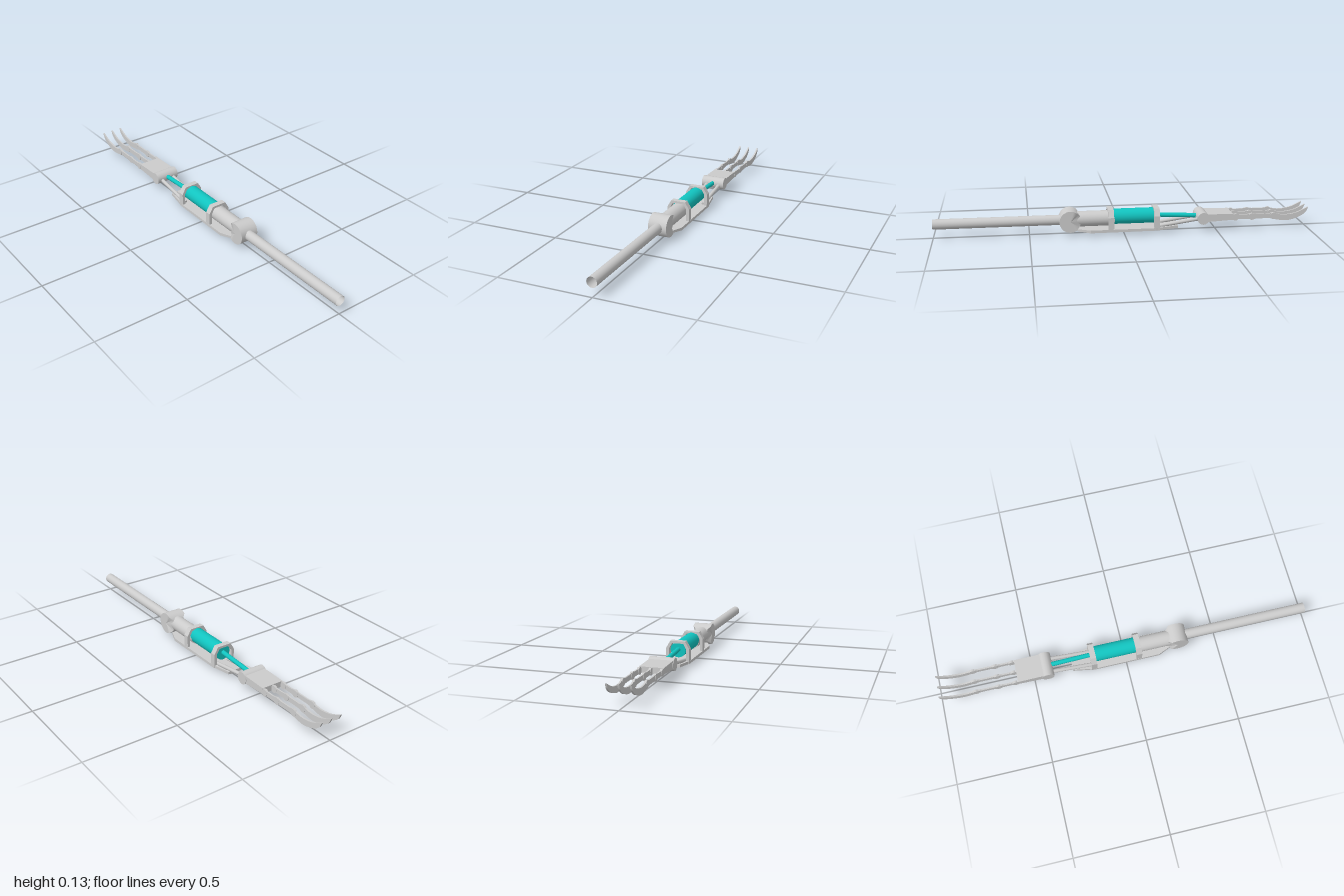
import * as THREE from 'three';

const grey = new THREE.MeshStandardMaterial({ color: 0xcccccc, side: THREE.DoubleSide });
const flatGrey = new THREE.MeshStandardMaterial({ color: 0xcccccc, flatShading: true, side: THREE.DoubleSide });
const teal = new THREE.MeshStandardMaterial({ color: 0x12c4c0 });

export function createModel() {
  const model = new THREE.Group();
  model.name = 'roboticArm';

  const add = (name, geometry, material = grey, parent = model) => {
    const mesh = new THREE.Mesh(geometry, material);
    mesh.name = name;
    parent.add(mesh);
    return mesh;
  };

  // Cylinder running from point a to point b
  const rod = (name, a, b, radius, material = grey, sides = 20, open = false, parent = model) => {
    const start = new THREE.Vector3(...a), end = new THREE.Vector3(...b);
    const dir = end.clone().sub(start);
    const mesh = add(name, new THREE.CylinderGeometry(radius, radius, dir.length(), sides, 1, open), material, parent);
    mesh.position.copy(start).add(end).multiplyScalar(0.5);
    mesh.quaternion.setFromUnitVectors(new THREE.Vector3(0, 1, 0), dir.normalize());
    return mesh;
  };

  // Side profile in x/y extruded evenly about z = 0
  const slab = (shape, width) =>
    new THREE.ExtrudeGeometry(shape, { depth: width, bevelEnabled: false, curveSegments: 10 }).translate(0, 0, -width / 2);
  const polygon = (points) => new THREE.Shape(points.map(([x, y]) => new THREE.Vector2(x, y)));

  // Upper arm: a hollow tube
  rod('upperArm', [0.3, 0.075, 0], [1, 0.075, 0], 0.027, grey, 24, true);

  // Elbow drum, its forearm side narrowed
  const elbow = new THREE.CylinderGeometry(0.058, 0.058, 0.1, 20).rotateX(Math.PI / 2);
  const pos = elbow.attributes.position;
  for (let i = 0; i < pos.count; i++) {
    if (pos.getX(i) < -0.04) pos.setZ(i, pos.getZ(i) * 0.7);
  }
  elbow.computeVertexNormals();
  add('elbow', elbow).position.set(0.285, 0.074, 0);

  // Forearm and piston
  rod('forearm', [0.05, 0.077, 0], [0.27, 0.077, 0], 0.041, grey, 24);
  rod('pistonBody', [-0.18, 0.084, 0], [0.06, 0.084, 0], 0.041, teal, 24);
  rod('pistonRod', [-0.42, 0.072, 0], [-0.17, 0.085, 0], 0.012, teal, 16);

  // Arched brackets around the piston
  const arch = polygon([[-0.062, 0.014], [0.062, 0.014], [0.062, 0.092], [0.04, 0.13], [-0.04, 0.13], [-0.062, 0.092]]);
  arch.holes.push(polygon([[-0.046, 0.026], [-0.046, 0.09], [-0.03, 0.118], [0.03, 0.118], [0.046, 0.09], [0.046, 0.026]]));
  for (const x of [-0.175, 0.07]) {
    add('bracket', slab(arch, 0.03).rotateY(Math.PI / 2), flatGrey).position.x = x;
  }

  // Keeled underside plate: x, half width, keel y, lower edge y, top y
  const sections = [
    [-0.29, 0.045, 0.014, 0.02, 0.034],
    [-0.17, 0.063, 0.001, 0.014, 0.028],
    [0.18, 0.063, 0, 0.013, 0.028],
    [0.245, 0.036, 0.012, 0.018, 0.03],
  ];
  const verts = [], faces = [];
  for (const [x, w, keel, edge, top] of sections) {
    verts.push(x, keel, 0, x, edge, w, x, top, w, x, top, -w, x, edge, -w);
  }
  for (let s = 0; s < sections.length - 1; s++) {
    for (let k = 0; k < 5; k++) {
      const a = s * 5 + k, b = s * 5 + ((k + 1) % 5);
      faces.push(a, a + 5, b, b, a + 5, b + 5);
    }
  }
  const last = (sections.length - 1) * 5;
  for (let k = 1; k < 4; k++) faces.push(0, k, k + 1, last, last + k + 1, last + k);
  const plate = new THREE.BufferGeometry();
  plate.setAttribute('position', new THREE.Float32BufferAttribute(verts, 3));
  plate.setIndex(faces);
  const plateFlat = plate.toNonIndexed();
  plateFlat.computeVertexNormals();
  add('undersidePlate', plateFlat, flatGrey);

  // Support struts from the plate to the wrist
  for (const z of [-0.036, 0.036]) {
    rod('wristStrut', [-0.42, 0.066, z], [-0.17, 0.03, z], 0.01, grey, 12);
  }

  // Wrist drum and palm
  rod('wrist', [-0.425, 0.07, -0.065], [-0.425, 0.07, 0.065], 0.033, grey, 16);
  add('palm', slab(polygon([[-0.585, 0.058], [-0.43, 0.05], [-0.43, 0.094], [-0.585, 0.09]]), 0.124), flatGrey);

  // Curved claw profile
  const claw = new THREE.Shape();
  claw.moveTo(-0.805, 0.09);
  claw.splineThru([[-0.84, 0.08], [-0.88, 0.077], [-0.94, 0.088], [-1, 0.116]].map((p) => new THREE.Vector2(...p)));
  claw.splineThru([[-0.985, 0.085], [-0.945, 0.06], [-0.88, 0.044], [-0.805, 0.055]].map((p) => new THREE.Vector2(...p)));

  // Three fingers, each with two waisted links, knuckles and a claw
  for (const z of [-0.057, 0, 0.057]) {
    const finger = new THREE.Group();
    finger.name = 'finger';
    finger.position.z = z;
    model.add(finger);
    for (const [from, to] of [[-0.58, -0.69], [-0.69, -0.81]]) {
      const link = polygon([[from, 0.056], [from, 0.09], [from - 0.03, 0.085], [to + 0.03, 0.085], [to, 0.09],
        [to, 0.056], [to + 0.03, 0.06], [from - 0.03, 0.06]]);
      add('fingerLink', slab(link, 0.008), flatGrey, finger);
    }
    for (const x of [-0.6, -0.69, -0.81]) {
      rod('knuckle', [x, 0.072, -0.006], [x, 0.072, 0.006], 0.019, grey, 12, false, finger);
    }
    add('claw', slab(claw, 0.009), flatGrey, finger);
  }

  return model;
}
